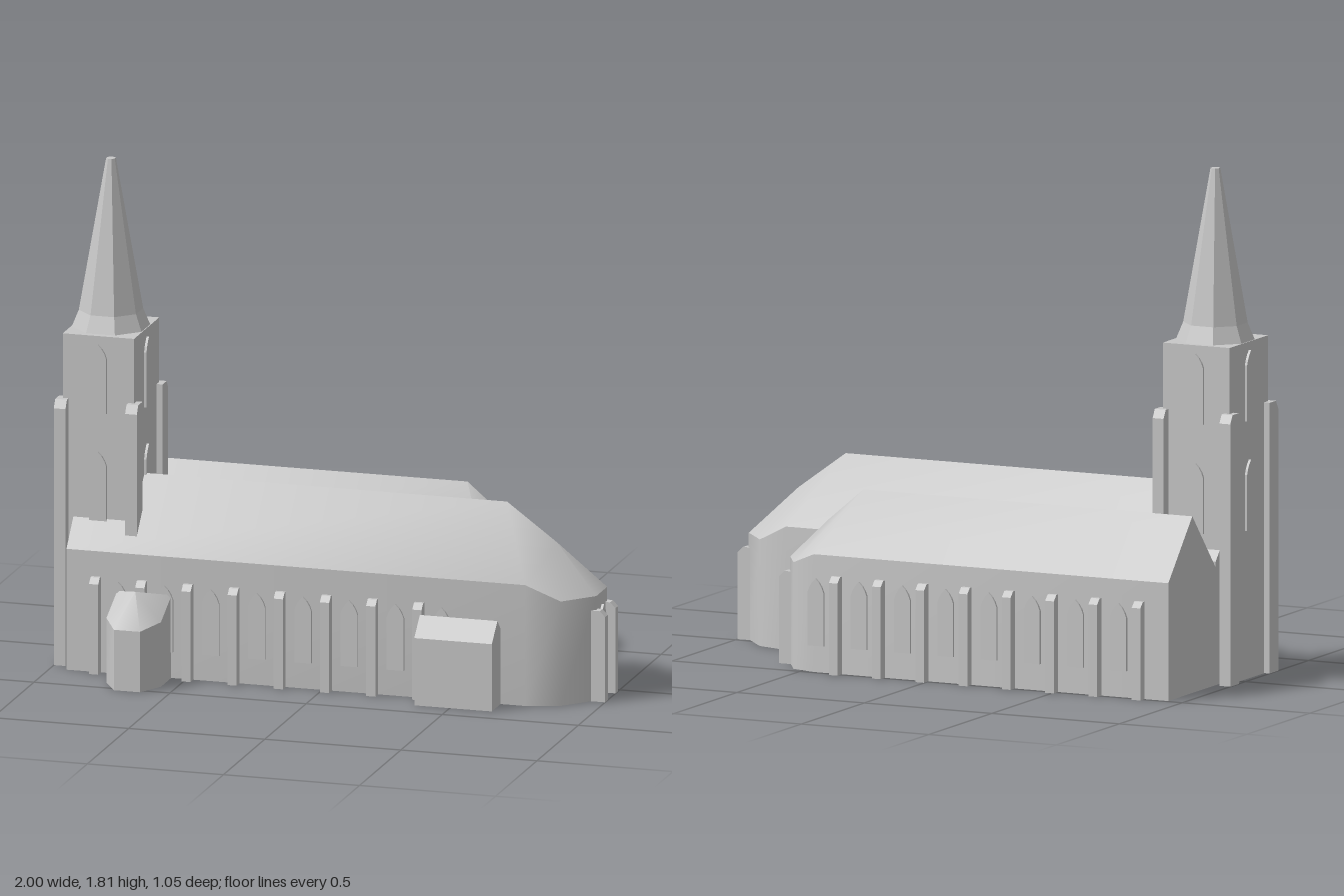
import * as THREE from 'three';
import { mergeGeometries, toCreasedNormals } from 'three/addons/utils/BufferGeometryUtils.js';

const stone = new THREE.MeshStandardMaterial({ color: 0xc8c8c8 });
stone.name = 'grey stone';

function add(parent, name, geometry) {
  const mesh = new THREE.Mesh(geometry, stone);
  mesh.name = name;
  parent.add(mesh);
  return mesh;
}

function fromTriangles(points, crease) {
  const g = new THREE.BufferGeometry();
  g.setAttribute('position', new THREE.Float32BufferAttribute(points.flat(), 3));
  return toCreasedNormals(g, crease);
}

// Building block: eaves are [x, y, z, ridgeIndex], counterclockwise from above;
// walls drop to the ground and the roof rises to the ridge points.
function building(eaves, ridge) {
  const walls = [], roof = [], floor = [];
  const down = p => [p[0], 0, p[2]];
  eaves.forEach((e, i) => {
    const f = eaves[(i + 1) % eaves.length];
    const p = e.slice(0, 3), q = f.slice(0, 3);
    walls.push(down(p), down(q), q, down(p), q, p);
    roof.push(p, q, ridge[f[3]]);
    if (e[3] !== f[3]) roof.push(p, ridge[f[3]], ridge[e[3]]);
    if (i > 0 && i < eaves.length - 1) floor.push(down(eaves[0]), down(q), down(p));
  });
  return mergeGeometries([
    fromTriangles(walls, 0.8), fromTriangles(roof, 0.95), fromTriangles(floor, 0.1),
  ]);
}

// Buttress with a sloped cap; at angle 0 it projects towards +x
function buttress(parent, x, z, angle, w, d, h, drop, cap) {
  const s = new THREE.Shape([[-0.03, 0], [d, 0], [d, h - drop], [d - cap, h], [-0.03, h]]
    .map(p => new THREE.Vector2(...p)));
  const g = new THREE.ExtrudeGeometry(s, { depth: w, bevelEnabled: false });
  g.translate(0, 0, -w / 2);
  const m = add(parent, 'buttress', g);
  m.position.set(x, 0, z);
  m.rotation.y = angle;
}

// Pointed lancet window; at angle 0 it faces +z
function lancet(parent, x, y, z, angle, h) {
  const w = 0.031, k = h - 0.05;
  const s = new THREE.Shape();
  s.moveTo(-w, 0);
  s.lineTo(w, 0);
  s.lineTo(w, k);
  s.quadraticCurveTo(w * 0.75, k + 0.03, 0, h);
  s.quadraticCurveTo(-w * 0.75, k + 0.03, -w, k);
  const g = new THREE.ExtrudeGeometry(s, { depth: 0.018, bevelEnabled: false, curveSegments: 3 });
  g.translate(0, 0, -0.009);
  const m = add(parent, 'lancetWindow', g);
  m.position.set(x, y, z);
  m.rotation.y = angle;
}

export function createModel() {
  const model = new THREE.Group();
  model.name = 'church';
  const group = name => {
    const g = new THREE.Group();
    g.name = name;
    model.add(g);
    return g;
  };
  const SOUTH = -Math.PI / 2, NORTH = Math.PI / 2;

  // Two parallel naves with polygonal apses
  const main = group('mainNave');
  add(main, 'mainNaveBody', building([
    [-0.94, 0.44, 0.305, 0], [0.745, 0.44, 0.305, 1], [0.865, 0.38, 0.268, 2],
    [0.963, 0.38, 0.16, 2], [0.963, 0.38, 0.03, 2], [0.865, 0.38, -0.08, 2],
    [0.745, 0.44, -0.115, 1], [-0.94, 0.44, -0.115, 0],
  ], [[-0.94, 0.68, 0.095], [0.615, 0.68, 0.095], [0.8, 0.545, 0.095]]));

  const side = group('sideNave');
  add(side, 'sideNaveBody', building([
    [-0.94, 0.42, -0.115, 0], [0.465, 0.42, -0.115, 1], [0.55, 0.38, -0.165, 2],
    [0.61, 0.38, -0.245, 2], [0.61, 0.38, -0.355, 2], [0.545, 0.38, -0.46, 2],
    [0.45, 0.42, -0.49, 1], [-0.94, 0.42, -0.49, 0],
  ], [[-0.94, 0.63, -0.3], [0.35, 0.63, -0.3], [0.49, 0.51, -0.3]]));

  // Buttresses and windows along the outer walls
  for (let i = 0; i < 8; i++) {
    const x = -0.83 + i * 0.1697;
    buttress(main, x, 0.305, SOUTH, 0.034, 0.034, 0.348, 0.02, 0.02);
    buttress(side, x, -0.49, NORTH, 0.034, 0.034, 0.348, 0.02, 0.02);
    lancet(main, x + 0.082, 0.095, 0.305, 0, 0.24);
    lancet(side, x + 0.082, 0.095, -0.49, Math.PI, 0.24);
  }
  // Apse buttresses and east windows
  for (const s of [-1, 1]) {
    buttress(main, 0.963, 0.097 + s * 0.063, 0, 0.033, 0.037, 0.33, 0.02, 0.02);
    buttress(side, 0.61, -0.3 + s * 0.058, 0, 0.033, 0.034, 0.33, 0.02, 0.02);
  }
  lancet(main, 0.963, 0.095, 0.097, Math.PI / 2, 0.24);
  lancet(side, 0.61, 0.095, -0.3, Math.PI / 2, 0.24);

  // Tower with corner buttresses and two windows on each side
  const tower = group('tower');
  const cx = -0.848, cz = 0.069, hx = 0.131, hz = 0.152;
  const shaft = add(tower, 'towerShaft', new THREE.BoxGeometry(hx * 2, 1.2, hz * 2));
  shaft.position.set(cx, 0.6, cz);
  for (const s of [-1, 1]) {
    buttress(tower, cx + s * hx, cz + hz, SOUTH, 0.043, 0.038, 0.965, 0.03, 0.018);
    buttress(tower, cx + s * hx, cz - hz, NORTH, 0.043, 0.038, 0.965, 0.03, 0.018);
  }
  for (const y of [0.53, 0.92]) {
    for (let k = 0; k < 4; k++) {
      const a = k * Math.PI / 2;
      lancet(tower, cx + Math.sin(a) * hx, y, cz + Math.cos(a) * hz, a, 0.25);
    }
  }

  // Eight-sided spire with flared foot
  const apothem = 1 / Math.cos(Math.PI / 8);
  const profile = [[0, 1.2], [0.128, 1.2], [0.105, 1.26], [0.016, 1.81], [0, 1.81]]
    .map(([r, y]) => new THREE.Vector2(r * apothem, y));
  const spireGeo = new THREE.LatheGeometry(profile, 8, Math.PI / 8);
  const spire = add(tower, 'spire', toCreasedNormals(spireGeo, 0.1));
  spire.position.set(cx, 0, cz);

  // Polygonal porch and gabled annex on the front wall
  add(model, 'porch', building([
    [-0.755, 0.3, 0.3, 0], [-0.755, 0.235, 0.43, 0], [-0.7, 0.22, 0.522, 0],
    [-0.604, 0.22, 0.522, 0], [-0.555, 0.235, 0.43, 0], [-0.555, 0.3, 0.3, 0],
  ], [[-0.655, 0.333, 0.41]]));
  add(model, 'annex', building([
    [0.37, 0.245, 0.41, 0], [0.655, 0.245, 0.41, 1],
    [0.655, 0.27, 0.3, 1], [0.37, 0.27, 0.3, 0],
  ], [[0.37, 0.312, 0.343], [0.655, 0.312, 0.343]]));

  return model;
}
